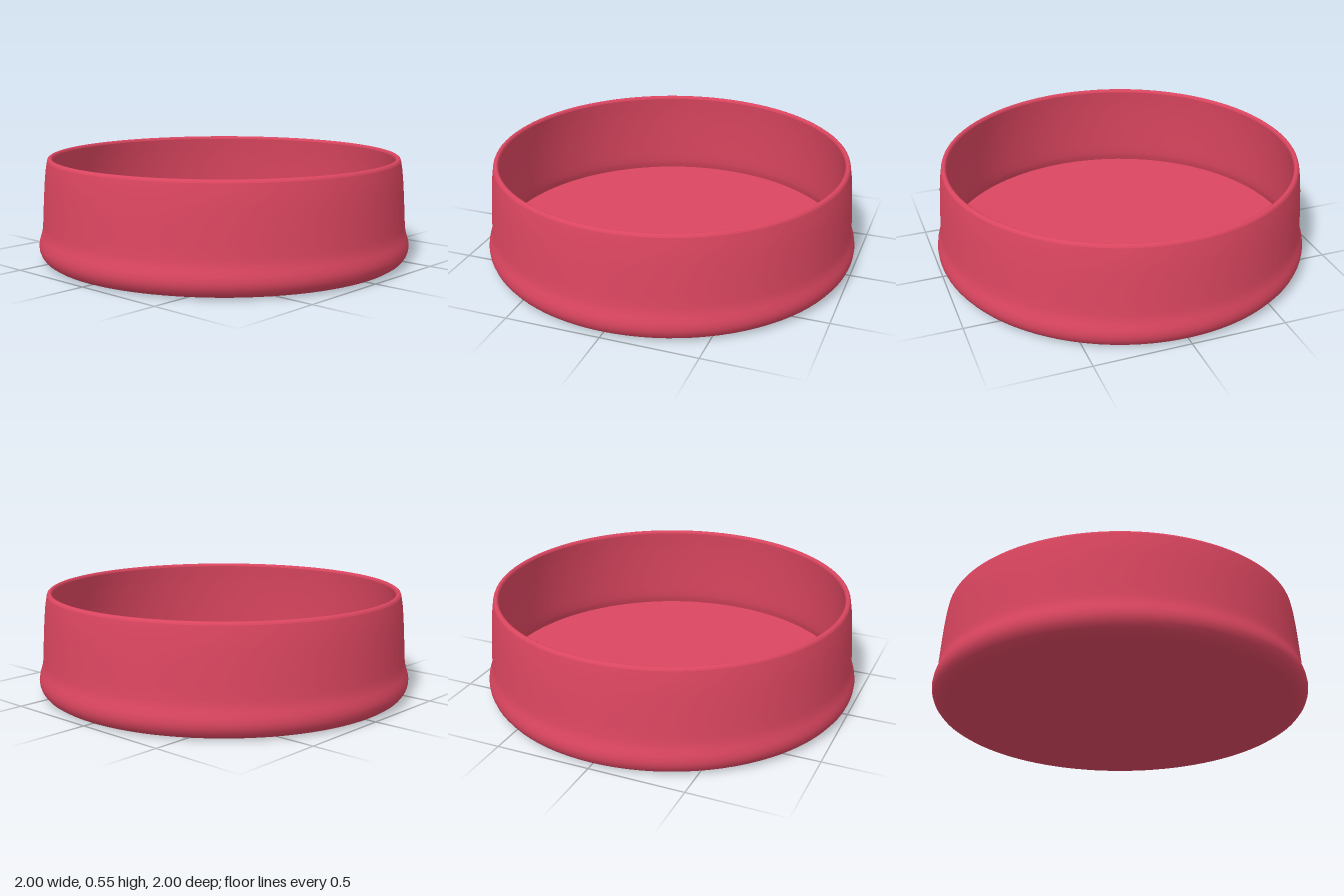
import * as THREE from 'three';

export function createModel() {
  const group = new THREE.Group();
  group.name = 'roundDish';
  const red = new THREE.MeshStandardMaterial({ color: 0xdc4660 });
  red.name = 'raspberry red';

  // Revolve a profile of [radius, height] points into a named part
  function revolve(name, profile) {
    const points = profile.map(([r, y]) => new THREE.Vector2(r, y));
    const mesh = new THREE.Mesh(new THREE.LatheGeometry(points, 96), red);
    mesh.name = name;
    group.add(mesh);
  }

  // Flat underside
  revolve('underside', [[0, 0], [0.93, 0]]);

  // Rounded foot bulge flowing into the gently tapering outer wall
  revolve('outerWall', [
    [0.93, 0], [0.955, 0.007], [0.975, 0.02], [0.99, 0.04], [0.998, 0.062],
    [1, 0.085], [0.996, 0.11], [0.988, 0.135], [0.981, 0.16], [0.977, 0.19],
    [0.974, 0.24], [0.968, 0.34], [0.962, 0.42], [0.956, 0.48], [0.947, 0.535],
  ]);

  // Thin rounded lip
  revolve('rim', [
    [0.947, 0.535], [0.943, 0.545], [0.936, 0.55], [0.928, 0.55],
    [0.921, 0.545], [0.919, 0.535],
  ]);

  // Inner wall, widening slightly towards the floor
  revolve('innerWall', [
    [0.919, 0.535], [0.926, 0.48], [0.932, 0.42], [0.938, 0.34],
    [0.944, 0.24], [0.947, 0.16], [0.95, 0.11], [0.955, 0.085], [0.963, 0.06],
  ]);

  // Flat inside floor
  revolve('floor', [[0.963, 0.06], [0, 0.06]]);

  return group;
}
